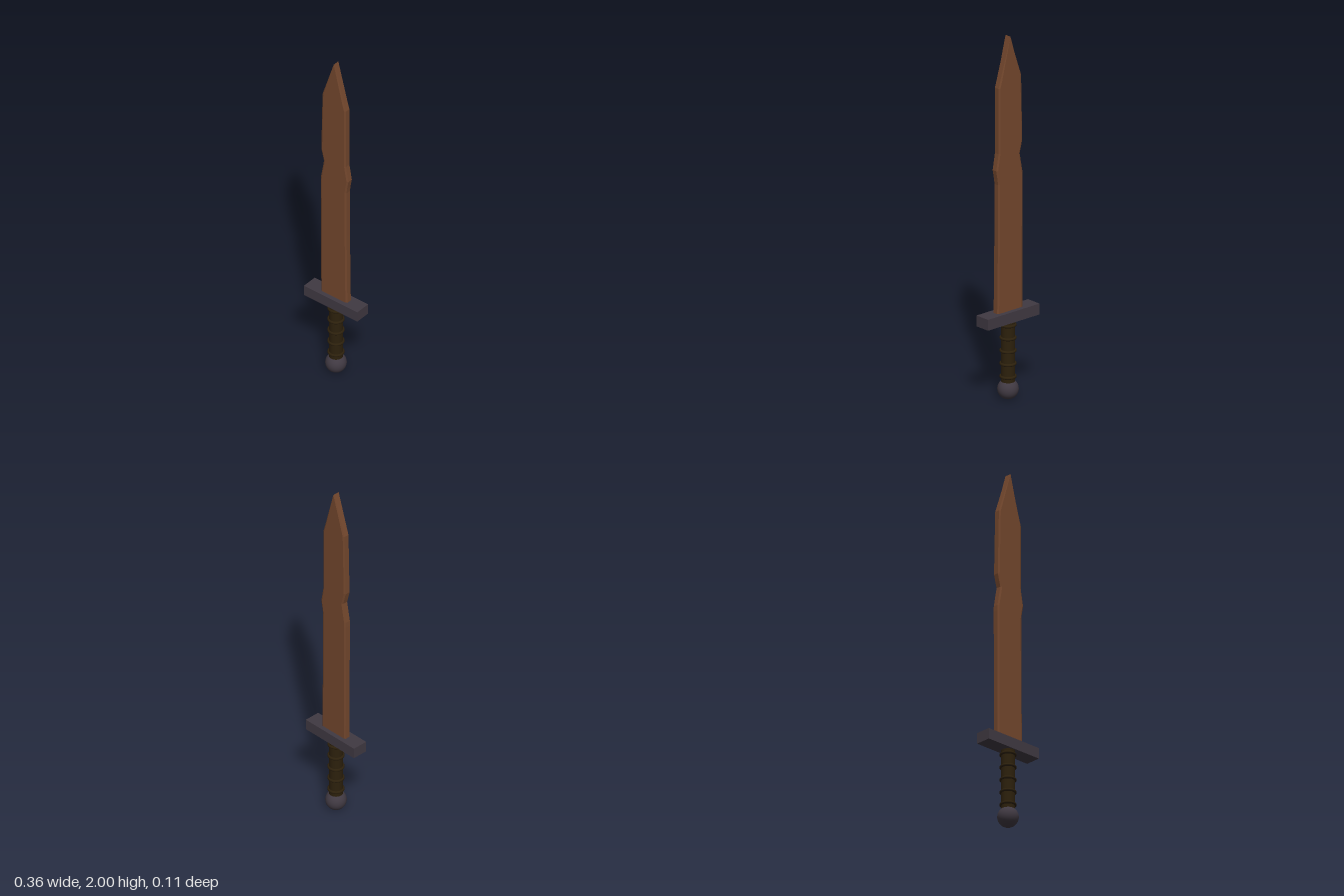
import * as THREE from 'three';

const flat = (name, color) => {
  const m = new THREE.MeshStandardMaterial({ color });
  m.name = name;
  return m;
};

// Lofts a bevelled eight-sided section through rows of [height, left edge, right edge]
function bladeGeometry(rows) {
  const t = 0.019, e = 0.014, bevel = 0.009;
  const pos = [], index = [];
  for (const [y, l, r] of rows) {
    const a = l + Math.min(bevel, -l), b = r - Math.min(bevel, r);
    const section = [[a, t], [b, t], [r, e], [r, -e], [b, -t], [a, -t], [l, -e], [l, e]];
    for (const [x, z] of section) pos.push(x, y, z);
  }
  for (let i = 0; i < rows.length - 1; i++) {
    for (let j = 0; j < 8; j++) {
      const k = (j + 1) % 8, p = i * 8, q = p + 8;
      index.push(p + j, p + k, q + k, p + j, q + k, q + j);
    }
  }
  const g = new THREE.BufferGeometry();
  g.setAttribute('position', new THREE.Float32BufferAttribute(pos, 3));
  g.setIndex(index);
  const faceted = g.toNonIndexed();
  faceted.computeVertexNormals();
  return faceted;
}

export function createModel() {
  const group = new THREE.Group();
  group.name = 'sword';
  const wood = flat('bladeBrown', 0x73472d);
  const metal = flat('darkMetal', 0x403942);
  const leather = flat('gripLeather', 0x2c200c);

  const add = (name, geometry, material, y) => {
    const mesh = new THREE.Mesh(geometry, material);
    mesh.name = name;
    mesh.position.y = y;
    group.add(mesh);
    return mesh;
  };

  // Blade with a chipped, uneven outline
  add('blade', bladeGeometry([
    [0.46, -0.086, 0.088], [0.62, -0.087, 0.085], [0.92, -0.087, 0.082],
    [1.2, -0.089, 0.081], [1.23, -0.088, 0.085], [1.28, -0.079, 0.094],
    [1.34, -0.068, 0.083], [1.37, -0.076, 0.078], [1.41, -0.086, 0.078],
    [1.73, -0.079, 0.078], [1.77, -0.078, 0.066], [2.0, 0, 0],
  ]), wood, 0);

  // Crossguard
  add('guard', new THREE.BoxGeometry(0.356, 0.06, 0.088), metal, 0.461);

  // Grip with raised binding rings
  add('grip', new THREE.CylinderGeometry(0.037, 0.037, 0.36, 32), leather, 0.26);
  for (let i = 0; i < 5; i++) {
    const ring = add('gripRing', new THREE.TorusGeometry(0.037, 0.008, 10, 32), leather, 0.125 + i * 0.071);
    ring.rotation.x = Math.PI / 2;
  }

  // Pommel
  add('pommel', new THREE.SphereGeometry(0.056, 32, 20), metal, 0.056);

  return group;
}
